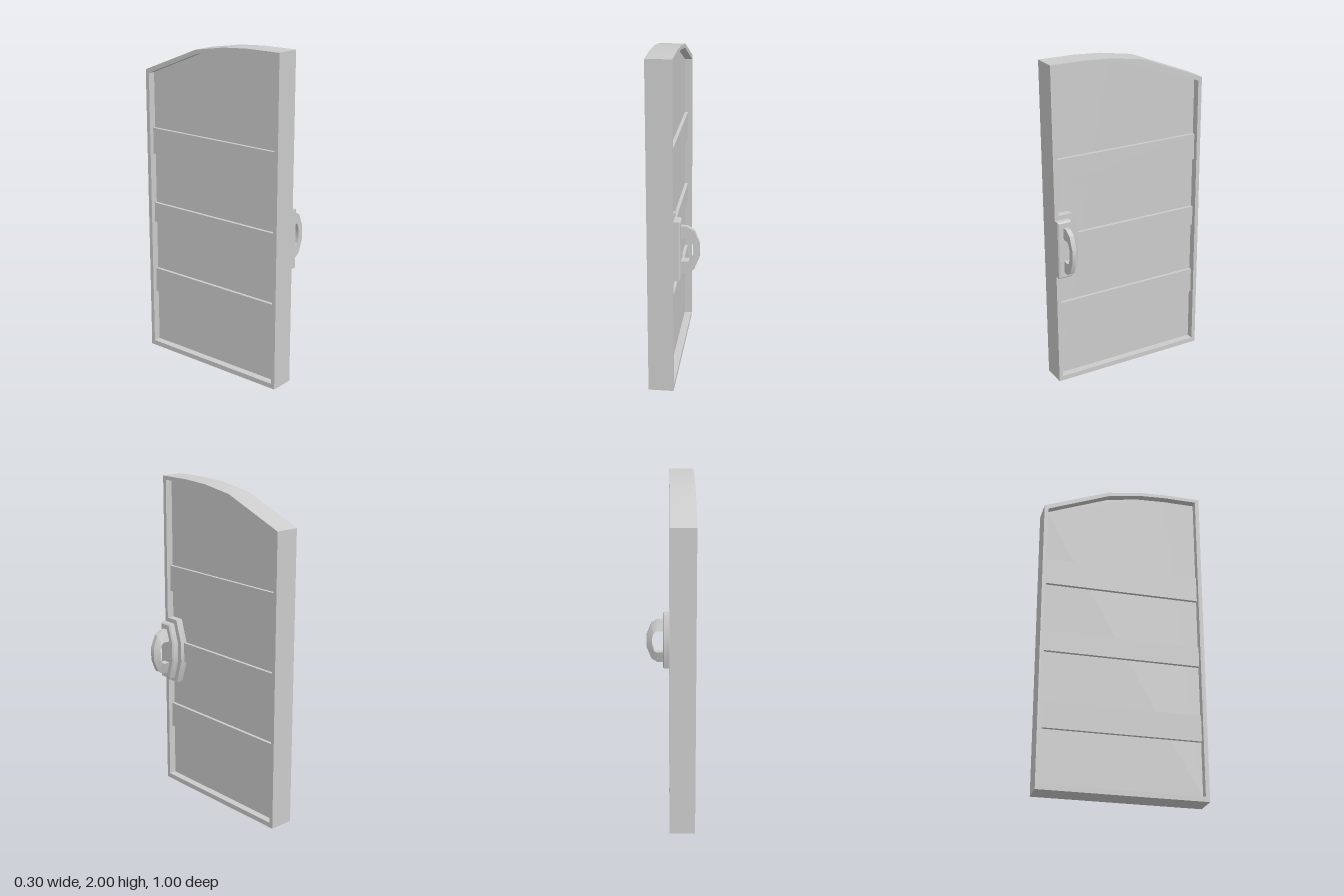
import * as THREE from 'three';
import { toCreasedNormals } from 'three/addons/utils/BufferGeometryUtils.js';

const material = new THREE.MeshStandardMaterial({ color: 0xcccccc });

// Outlines are given as [z, y] and extruded along x.
const toPoints = (outline) => outline.map(([z, y]) => new THREE.Vector2(-z, y));

function slab(name, outline, x0, x1, { hole, bevel = 0 } = {}) {
  const shape = new THREE.Shape(toPoints(outline));
  if (hole) shape.holes.push(new THREE.Path(toPoints(hole)));
  const geometry = new THREE.ExtrudeGeometry(shape, {
    depth: x1 - x0 - 2 * bevel,
    bevelEnabled: bevel > 0,
    bevelThickness: bevel,
    bevelSize: bevel,
    bevelOffset: -bevel,
    bevelSegments: 1,
  });
  geometry.translate(0, 0, x0 + bevel);
  geometry.rotateY(Math.PI / 2);
  const mesh = new THREE.Mesh(toCreasedNormals(geometry, 0.4), material);
  mesh.name = name;
  return mesh;
}

const rect = (z0, z1, y0, y1) => [[z0, y0], [z1, y0], [z1, y1], [z0, y1]];

// Half-hexagon outline for the handle mount, symmetric about y = 0.9
const mountOutline = (zEdge, zCorner, zTip, halfTip, halfHeight) => [
  [zEdge, 0.9 + halfHeight], [zCorner, 0.9 + halfHeight], [zTip, 0.9 + halfTip],
  [zTip, 0.9 - halfTip], [zCorner, 0.9 - halfHeight], [zEdge, 0.9 - halfHeight],
];

// Pull handle: a tapered four-sided section swept along a C-shaped path
function createHandle() {
  const outerHalf = [[0.03, 0.143], [0.075, 0.143], [0.115, 0.118], [0.146, 0.04]];
  const innerHalf = [[0.03, 0.07], [0.085, 0.07], [0.1, 0.057], [0.11, 0.025]];
  const mirror = (half) => [
    ...half.map(([x, h]) => [x, 0.9 + h]),
    ...[...half].reverse().map(([x, h]) => [x, 0.9 - h]),
  ];
  const outer = mirror(outerHalf);
  const inner = mirror(innerHalf);
  const positions = [];
  const indices = [];
  outer.forEach((o, i) => {
    const n = inner[i];
    positions.push(...o, 0.465, ...o, 0.437, ...n, 0.413, ...n, 0.465);
    if (i === 0) return;
    for (let k = 0; k < 4; k++) {
      const a = (i - 1) * 4 + k;
      const d = (i - 1) * 4 + ((k + 1) % 4);
      indices.push(a, a + 4, d + 4, a, d + 4, d);
    }
  });
  const geometry = new THREE.BufferGeometry();
  geometry.setAttribute('position', new THREE.Float32BufferAttribute(positions, 3));
  geometry.setIndex(indices);
  const mesh = new THREE.Mesh(toCreasedNormals(geometry, 0.4), material);
  mesh.name = 'handle';
  return mesh;
}

export function createModel() {
  const group = new THREE.Group();
  group.name = 'door';

  // Rim with a sloping, curved top
  const outline = [
    [0.5, 0], [-0.5, 0], [-0.5, 1.8], [-0.1, 1.957], [0.11, 1.99], [0.28, 2], [0.5, 2],
  ];
  const opening = [
    [0.475, 0.03], [-0.475, 0.03], [-0.475, 1.78], [-0.09, 1.934],
    [0.11, 1.968], [0.28, 1.977], [0.475, 1.977],
  ];
  group.add(slab('frame', outline, -0.15, 0, { hole: opening }));

  // Recessed panel
  group.add(slab('panel', opening, -0.105, -0.045));

  // Cross ribs on both faces
  [[0.365, 0.525], [0.838, 0.962], [1.277, 1.44]].forEach(([y0, y1]) => {
    const bar = rect(0.473, -0.473, y0, y1);
    group.add(slab('frontRib', bar, -0.046, -0.025));
    group.add(slab('backRib', bar, -0.125, -0.104));
  });

  // Raised boss, bevelled plate and pull handle at the opening edge
  group.add(slab('handleBoss', mountOutline(0.476, 0.39, 0.345, 0.063, 0.206), -0.046, 0));
  group.add(slab('handlePlate', mountOutline(0.5, 0.413, 0.378, 0.063, 0.18), -0.01, 0.04, { bevel: 0.008 }));
  group.add(createHandle());

  return group;
}
